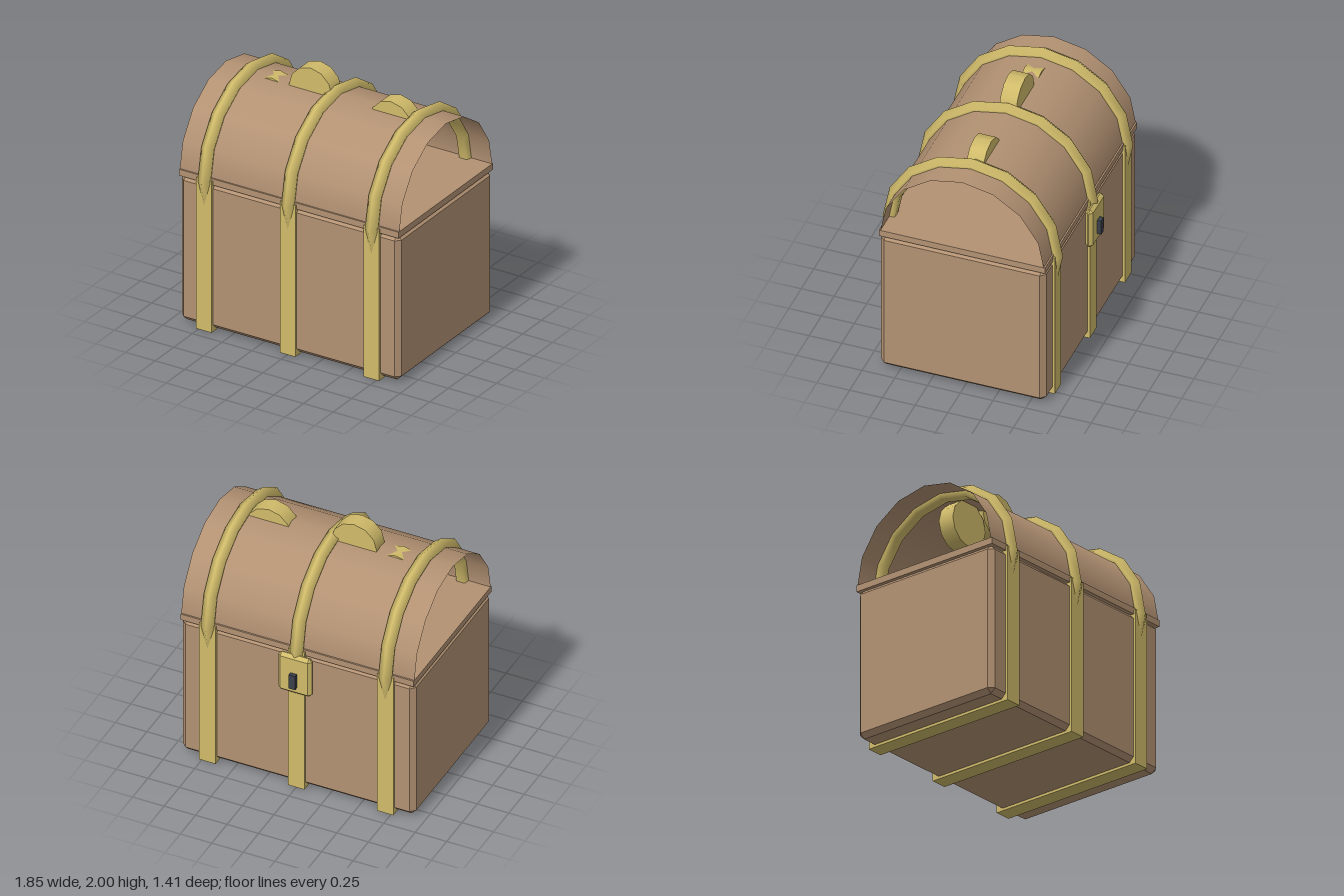
import * as THREE from 'three';
import { ConvexGeometry } from 'three/addons/geometries/ConvexGeometry.js';

const wood = new THREE.MeshStandardMaterial({ color: 0xb39273 });
const woodShell = new THREE.MeshStandardMaterial({ color: 0xb39273, side: THREE.DoubleSide });
const gold = new THREE.MeshStandardMaterial({ color: 0xd0bb6a });
const iron = new THREE.MeshStandardMaterial({ color: 0x3a404a });

const MID_Z = 0.016;   // depth centre of the chest
const HINGE_Y = 1.195; // axis height of the curved lid

// Box with every edge and corner cut off by b
function chamferBox(w, h, d, b) {
  const points = [];
  for (const sx of [-1, 1]) for (const sy of [-1, 1]) for (const sz of [-1, 1]) {
    const x = w / 2, y = h / 2, z = d / 2;
    points.push(
      new THREE.Vector3(sx * x, sy * (y - b), sz * (z - b)),
      new THREE.Vector3(sx * (x - b), sy * y, sz * (z - b)),
      new THREE.Vector3(sx * (x - b), sy * (y - b), sz * z));
  }
  return new ConvexGeometry(points);
}

export function createModel() {
  const model = new THREE.Group();
  model.name = 'treasureChest';

  function add(name, geometry, material, x, y, z) {
    const mesh = new THREE.Mesh(geometry, material);
    mesh.name = name;
    mesh.position.set(x, y, z);
    model.add(mesh);
    return mesh;
  }

  // Chamfered body and the flat plate closing it
  add('body', chamferBox(1.85, 1.165, 1.262, 0.037), wood, 0, 0.6025, MID_Z);
  add('lidPlate', new THREE.BoxGeometry(1.85, 0.05, 1.27), wood, 0, 1.205, MID_Z);

  // Half-barrel lid, open at both ends
  const lid = new THREE.CylinderGeometry(0.63, 0.63, 1.85, 8, 1, true, 0, Math.PI);
  lid.rotateZ(Math.PI / 2);
  add('lid', lid, woodShell, 0, HINGE_Y, MID_Z);

  // Straps round the body, with hoops over the lid
  const hoop = new THREE.TorusGeometry(0.633, 0.055, 5, 16);
  hoop.rotateY(Math.PI / 2);
  const strap = new THREE.BoxGeometry(0.13, 1.215, 1.3);
  for (const x of [-0.705, 0, 0.705]) {
    add('strap', strap, gold, x, 0.6075, MID_Z);
    add('lidHoop', hoop, gold, x, HINGE_Y, MID_Z);
  }

  // Lock on the back
  add('lockPlate', chamferBox(0.265, 0.335, 0.06, 0.025), gold, 0, 1.0175, -0.645);
  add('keyhole', new THREE.BoxGeometry(0.05, 0.12, 0.035), iron, 0, 0.978, -0.688);

  // Thick discs poking through the lid
  const disc = new THREE.CylinderGeometry(0.18, 0.18, 0.13, 12);
  disc.rotateX(Math.PI / 2);
  for (const [x, y] of [[-0.175, 1.82], [0.505, 1.735], [-0.505, 1.65]]) {
    add('coin', disc, gold, x, y, MID_Z);
  }

  return model;
}
